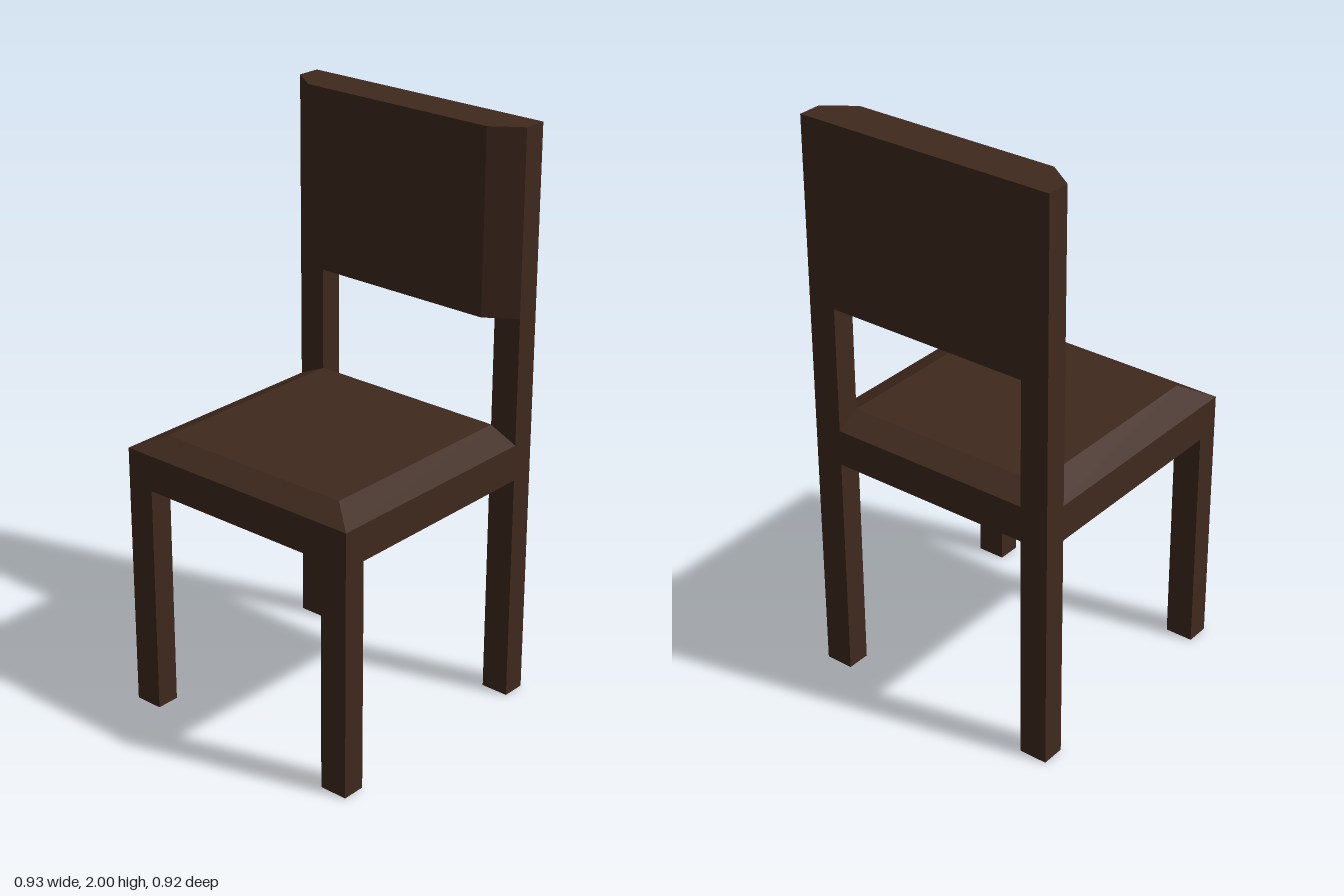
import * as THREE from 'three';

const W = 0.465, D = 0.46;            // half width and half depth
const LEG_X = 0.1, LEG_Z = 0.083;     // leg section
const SEAT_LOW = 0.81, SEAT_EDGE = 0.935, SEAT_TOP = 0.98;
const BACK_LOW = 1.375, TOP = 2;

export function createModel() {
  const chair = new THREE.Group();
  chair.name = 'chair';
  const wood = new THREE.MeshStandardMaterial({ color: 0x3f291d, flatShading: true });

  const add = (name, geometry) => {
    const mesh = new THREE.Mesh(geometry, wood);
    mesh.name = name;
    chair.add(mesh);
    return mesh;
  };

  // Square post at a corner, between two heights
  const post = (name, sx, sz, y0, y1) =>
    add(name, new THREE.BoxGeometry(LEG_X, y1 - y0, LEG_Z))
      .position.set(sx * (W - LEG_X / 2), (y0 + y1) / 2, sz * (D - LEG_Z / 2));

  // Legs, and the uprights that carry the backrest
  for (const [side, sx] of [['left', 1], ['right', -1]]) {
    post(`${side}FrontLeg`, sx, 1, 0, SEAT_LOW);
    post(`${side}BackLeg`, sx, -1, 0, SEAT_LOW);
    post(`${side}Upright`, sx, -1, SEAT_EDGE, BACK_LOW);
  }

  // Seat slab
  add('seat', new THREE.BoxGeometry(2 * W, SEAT_EDGE - SEAT_LOW, 2 * D))
    .position.y = (SEAT_LOW + SEAT_EDGE) / 2;

  // Bevelled seat top: a box whose upper corners are drawn in
  const bevel = new THREE.BoxGeometry(2 * W, SEAT_TOP - SEAT_EDGE, 2 * D);
  const p = bevel.attributes.position;
  for (let i = 0; i < p.count; i++) {
    if (p.getY(i) > 0) {
      p.setX(i, Math.sign(p.getX(i)) * (W - LEG_X));
      p.setZ(i, Math.sign(p.getZ(i)) * (D - LEG_Z));
    }
  }
  bevel.computeVertexNormals();
  add('seatTop', bevel).position.y = (SEAT_EDGE + SEAT_TOP) / 2;

  // Backrest: plan outline with chamfered front corners, extruded upward
  const outline = new THREE.Shape([
    [-W, D], [W, D], [W, D - LEG_Z], [W - LEG_X, 0.306],
    [-W + LEG_X, 0.306], [-W, D - LEG_Z],
  ].map(([x, y]) => new THREE.Vector2(x, y)));
  const back = new THREE.ExtrudeGeometry(outline, { depth: TOP - BACK_LOW, bevelEnabled: false });
  back.rotateX(-Math.PI / 2);
  add('backrest', back).position.y = BACK_LOW;

  return chair;
}
